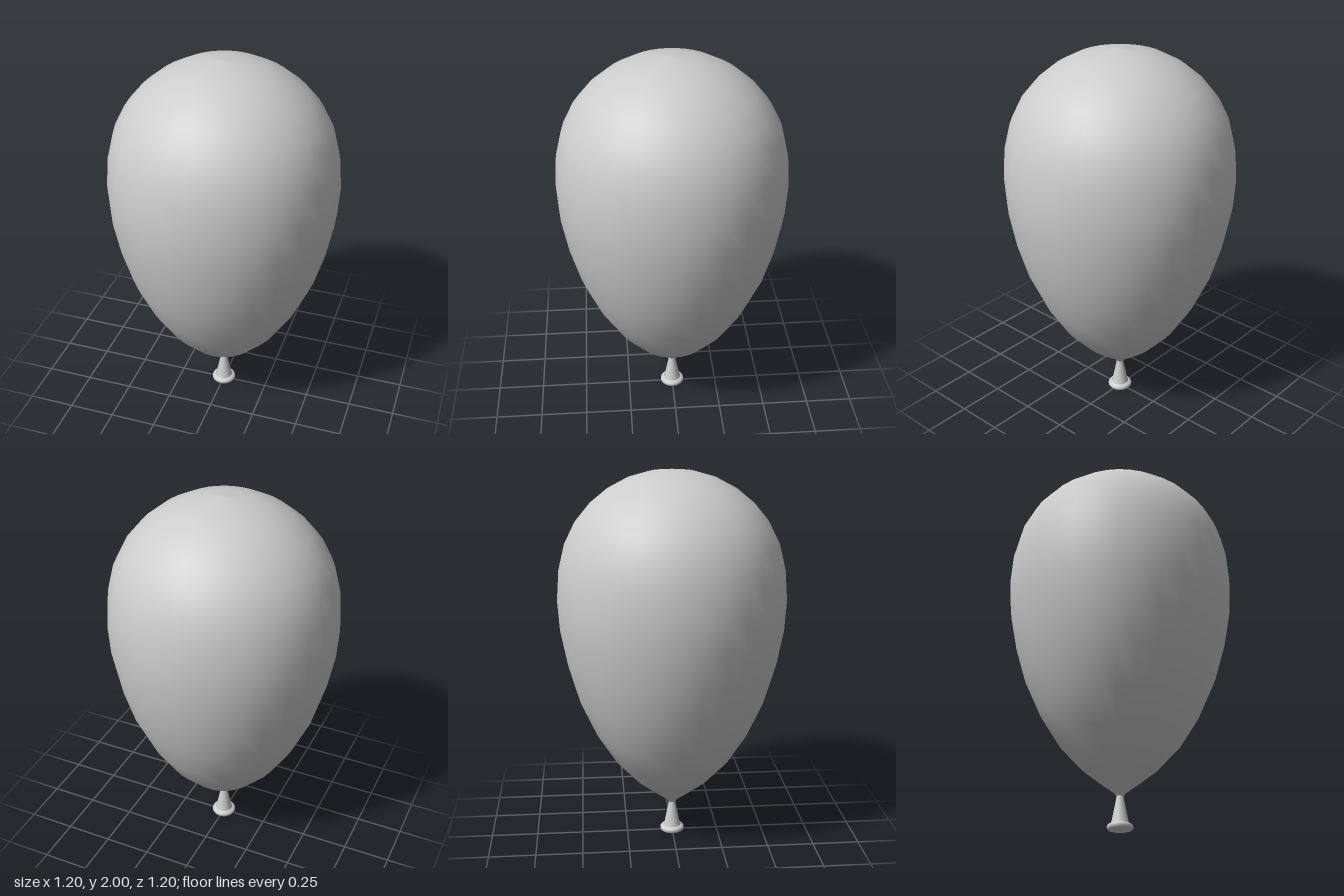
import * as THREE from 'three';

const SIDES = 32;

// Turn a bottom-to-top list of [radius, height] pairs into a lathed mesh.
function turned(name, profile, material) {
  const points = profile.map(([r, y]) => new THREE.Vector2(r, y));
  const mesh = new THREE.Mesh(new THREE.LatheGeometry(points, SIDES), material);
  mesh.name = name;
  return mesh;
}

export function createModel() {
  const rubber = new THREE.MeshStandardMaterial({ color: 0xcccccc });
  rubber.name = 'grey rubber';

  const group = new THREE.Group();
  group.name = 'balloon';

  // Inflated teardrop body
  group.add(turned('body', [
    [0.018, 0.17], [0.03, 0.187], [0.1, 0.24], [0.2, 0.32], [0.315, 0.445],
    [0.415, 0.605], [0.5, 0.795], [0.555, 0.985], [0.59, 1.17], [0.6, 1.33],
    [0.588, 1.49], [0.555, 1.625], [0.5, 1.735], [0.425, 1.825],
    [0.333, 1.9], [0.23, 1.955], [0.117, 1.988], [0, 2],
  ], rubber));

  // Flared neck below the pinch
  group.add(turned('neck', [
    [0.048, 0.025], [0.041, 0.05], [0.033, 0.09], [0.025, 0.13],
    [0.02, 0.155], [0.018, 0.17],
  ], rubber));

  // Rolled lip around the mouth
  group.add(turned('lip', [
    [0.046, 0.008], [0.053, 0.001], [0.06, 0], [0.065, 0.007], [0.066, 0.015],
    [0.064, 0.022], [0.057, 0.027], [0.047, 0.031],
  ], rubber));

  // Closed end inside the lip
  const mouth = new THREE.Mesh(new THREE.CircleGeometry(0.05, SIDES), rubber);
  mouth.name = 'mouth';
  mouth.rotation.x = Math.PI / 2;
  mouth.position.y = 0.007;
  group.add(mouth);

  return group;
}
